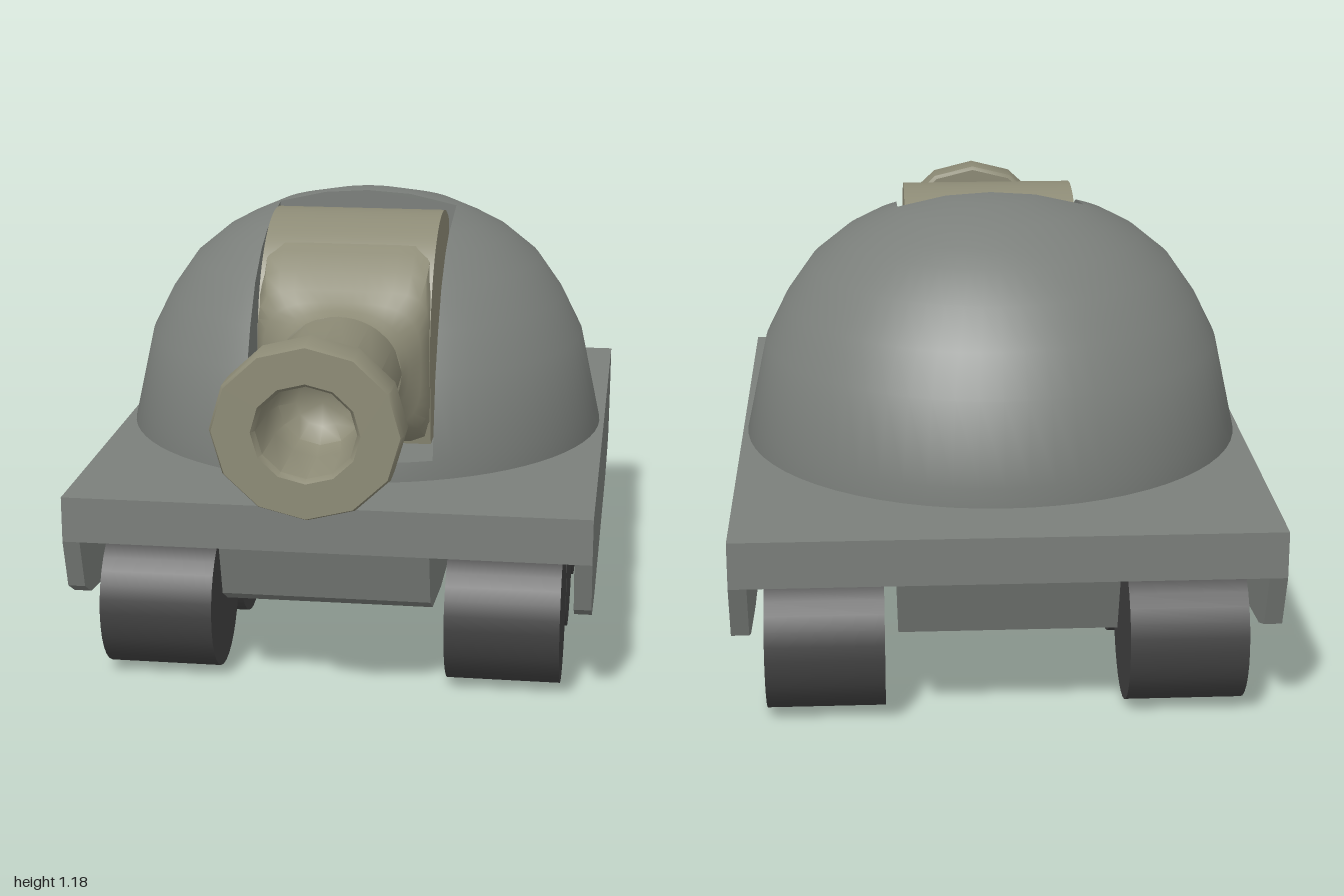
import * as THREE from 'three';
import { toCreasedNormals } from 'three/addons/utils/BufferGeometryUtils.js';

const paint = (color) => new THREE.MeshStandardMaterial({ color, side: THREE.DoubleSide });
const armour = paint(0x7b7f7b), gunMetal = paint(0x8d8b76), rubber = paint(0x424242);
const V2 = (p) => new THREE.Vector2(p[0], p[1]);

function add(parent, name, geometry, material) {
  const mesh = new THREE.Mesh(geometry, material);
  mesh.name = name;
  parent.add(mesh);
  return mesh;
}

// Extrudes a side profile given as [z, y] across x, centred on x = 0
function sideExtrude(shape, width, curveSegments = 24) {
  const geo = new THREE.ExtrudeGeometry(shape, { depth: width, bevelEnabled: false, curveSegments });
  return geo.translate(0, 0, -width / 2).rotateY(-Math.PI / 2);
}

// Joins rows of [x, y, z] points into a surface
function gridSurface(rows) {
  const n = rows[0].length, index = [];
  for (let i = 0; i < rows.length - 1; i++) {
    for (let j = 0; j < n - 1; j++) {
      const a = i * n + j, b = a + n;
      index.push(a, a + 1, b, a + 1, b + 1, b);
    }
  }
  const geo = new THREE.BufferGeometry();
  geo.setAttribute('position', new THREE.Float32BufferAttribute(rows.flat(2), 3));
  geo.setIndex(index);
  geo.computeVertexNormals();
  return geo;
}

function buildHull() {
  const hull = new THREE.Group();
  hull.name = 'hull';
  const deck = [[0.72, 0.525], [0.72, 0.405], [-1, 0.405], [-1, 0.525]];
  const lower = [[0.72, 0.405], [0.68, 0.27], [0.62, 0.235], [0.4, 0.21],
    [-0.65, 0.21], [-0.88, 0.235], [-0.95, 0.262], [-1, 0.405]];
  add(hull, 'deck', sideExtrude(new THREE.Shape(deck.map(V2)), 1.36), armour);
  const lowerShape = new THREE.Shape(lower.map(V2));
  add(hull, 'belly', sideExtrude(lowerShape, 0.54), armour);
  for (const s of [-1, 1]) {
    add(hull, 'sideSkirt', sideExtrude(lowerShape, 0.045), armour).position.x = s * 0.6575;
  }
  return hull;
}

function buildWheels() {
  const wheels = new THREE.Group();
  wheels.name = 'wheels';
  const geo = new THREE.CylinderGeometry(0.193, 0.193, 0.297, 32).rotateZ(Math.PI / 2);
  for (const s of [-1, 1]) {
    for (const z of [0.48, 0.07, -0.345, -0.77]) {
      add(wheels, 'wheel', geo, rubber).position.set(s * 0.452, 0.193, z);
    }
  }
  return wheels;
}

function buildTurret() {
  const turret = new THREE.Group();
  turret.name = 'turret';
  turret.position.z = -0.15;
  const half = 0.25; // half width of the gun slot
  const profile = [[0.667, 0.53], [0.656, 0.58], [0.61, 0.79], [0.555, 0.9], [0.485, 1.0],
    [0.4, 1.07], [0.335, 1.105], [half, 1.143], [0.12, 1.172], [0, 1.18]];
  const low = profile.filter((p) => p[0] >= half);

  // Dome skin between two angles from the front, with round normals
  function domePatch(points, from, to, steps) {
    const rows = points.map(([r, y]) => Array.from({ length: steps + 1 }, (_, j) => {
      const a = from(r) + (to(r) - from(r)) * j / steps;
      return [r * Math.sin(a), y, r * Math.cos(a)];
    }));
    const geo = gridSurface(rows);
    const pos = geo.attributes.position, v = new THREE.Vector3();
    for (let i = 0; i < pos.count; i++) {
      v.fromBufferAttribute(pos, i);
      v.y -= 0.5;
      v.normalize();
      geo.attributes.normal.setXYZ(i, v.x, v.y, v.z);
    }
    return geo;
  }
  const edge = (r) => Math.asin(Math.min(1, half / r)), quarter = Math.PI / 2;
  add(turret, 'domeBack', domePatch(profile, () => quarter, () => 3 * quarter, 32), armour);
  add(turret, 'domeLeft', domePatch(low, edge, () => quarter, 14), armour);
  add(turret, 'domeRight', domePatch(low, () => -quarter, (r) => -edge(r), 14), armour);
  add(turret, 'slotLip', domePatch(profile.slice(0, 2), (r) => -edge(r), edge, 10), armour);

  // Slot cheeks, back wall and floor
  const cheek = new THREE.Shape([[0, 0.53],
    ...low.map(([r, y]) => [Math.sqrt(r * r - half * half), y])].map(V2));
  for (const s of [-1, 1]) {
    const geo = new THREE.ShapeGeometry(cheek).rotateY(-s * Math.PI / 2);
    if (s < 0) geo.rotateY(Math.PI);
    if (s < 0) geo.rotateY(Math.PI).scale(1, 1, -1);
    add(turret, 'slotCheek', geo, armour).position.x = s * half;
  }
  const crown = profile.filter((p) => p[0] <= half);
  const wall = [[-half, 0.53], [half, 0.53], ...crown,
    ...crown.slice(0, -1).reverse().map(([r, y]) => [-r, y])];
  add(turret, 'slotBack', new THREE.ShapeGeometry(new THREE.Shape(wall.map(V2))), armour);
  const rim = Array.from({ length: 11 }, (_, i) => {
    const a = edge(0.656) * (i / 5 - 1);
    return [0.656 * Math.sin(a), -0.656 * Math.cos(a)];
  });
  const floor = new THREE.Shape([[half, 0], [-half, 0], ...rim].map(V2));
  add(turret, 'slotFloor', new THREE.ShapeGeometry(floor).rotateX(-Math.PI / 2), armour).position.y = 0.58;
  add(turret, 'domeBase', new THREE.CircleGeometry(0.667, 64).rotateX(Math.PI / 2), armour).position.y = 0.53;
  return turret;
}

function buildGun() {
  const gun = new THREE.Group();
  gun.name = 'gun';

  // Round-topped mantlet
  const side = new THREE.Shape();
  side.moveTo(-0.23, 0.525);
  side.lineTo(0.3, 0.525);
  side.absarc(0.035, 0.842, 0.317, -0.3, Math.PI + 0.3, false);
  side.closePath();
  add(gun, 'mantlet', toCreasedNormals(sideExtrude(side, 0.46, 32), 0.5), gunMetal);

  // Neck blending from the boxy mantlet to the round barrel: [z, half width, centre y, half height, squareness]
  const sections = [[0.19, 0.23, 0.83, 0.285, 16], [0.25, 0.23, 0.83, 0.255, 14], [0.31, 0.23, 0.815, 0.23, 10],
    [0.355, 0.228, 0.81, 0.195, 6], [0.385, 0.21, 0.807, 0.172, 3.5], [0.41, 0.18, 0.805, 0.158, 2.4],
    [0.44, 0.165, 0.805, 0.15, 2]];
  const rows = sections.map(([z, w, yc, h, n]) => Array.from({ length: 49 }, (_, j) => {
    const a = j / 48 * Math.PI * 2, c = Math.cos(a), s = Math.sin(a);
    const k = (Math.abs(c) ** n + Math.abs(s) ** n) ** (-1 / n);
    return [w * c * k, yc + h * s * k, z];
  }));
  add(gun, 'neck', toCreasedNormals(gridSurface(rows), 0.8), gunMetal);

  // Barrel, muzzle ring and bore in one turned profile: [radius, z]
  const turned = [[0.164, 0.42], [0.164, 0.875], [0.172, 0.89], [0.225, 0.89], [0.235, 0.9], [0.235, 0.985],
    [0.228, 1], [0.133, 1], [0.123, 0.985], [0.12, 0.82], [0.105, 0.76], [0.065, 0.725], [0, 0.715]];
  const barrel = new THREE.LatheGeometry(turned.map(V2), 12).rotateX(Math.PI / 2).scale(1, 0.93, 1);
  add(gun, 'barrel', toCreasedNormals(barrel, 0.65), gunMetal).position.y = 0.803;
  return gun;
}

export function createModel() {
  const model = new THREE.Group();
  model.name = 'toyTank';
  model.add(buildHull(), buildWheels(), buildTurret(), buildGun());
  return model;
}
